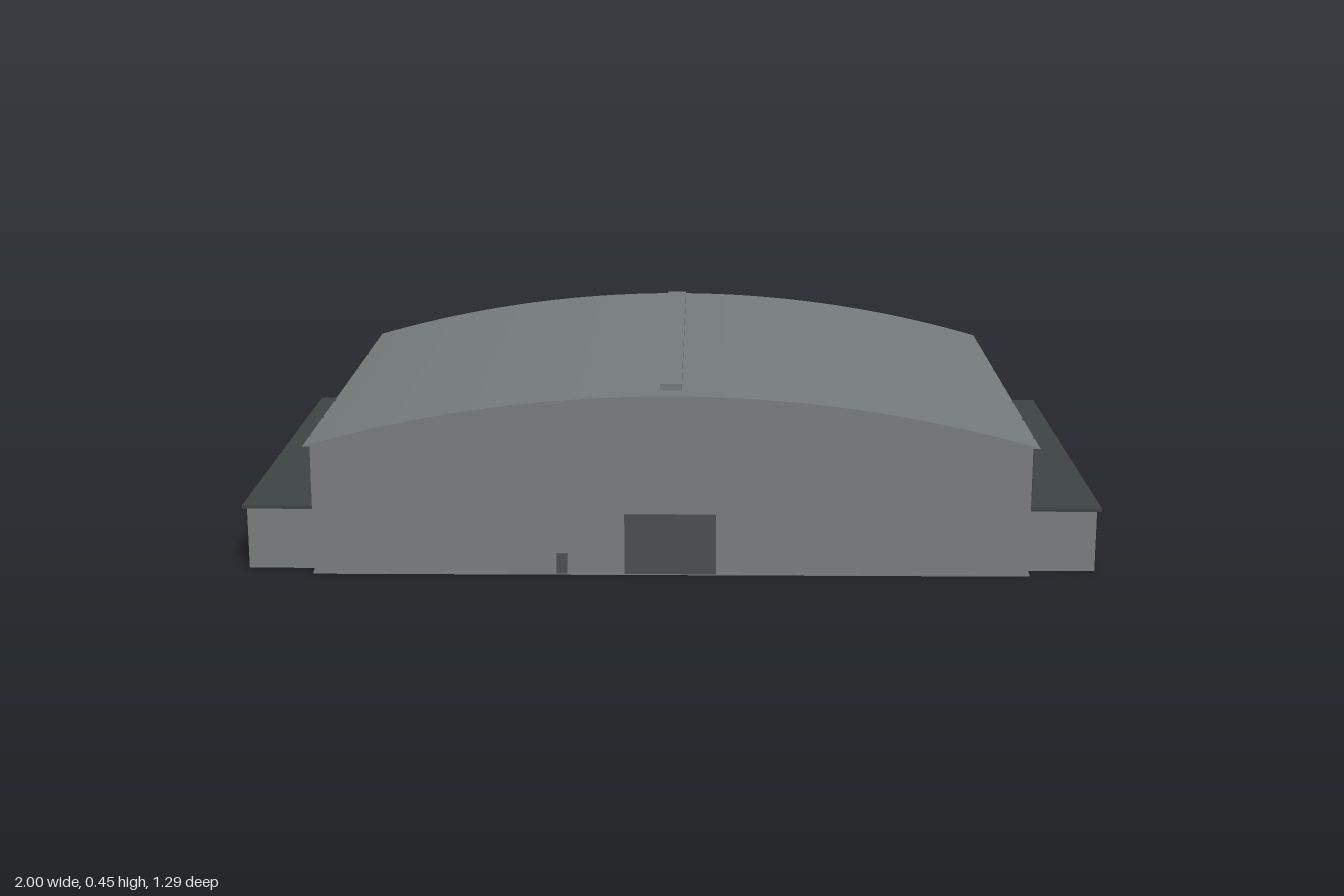
import * as THREE from 'three';

const mat = (name, color) => {
  const m = new THREE.MeshStandardMaterial({ color });
  m.name = name;
  return m;
};

export function createModel() {
  const wall = mat('wall grey', 0x797e7e);
  const roofing = mat('roof grey', 0x767c7c);
  const trim = mat('dark trim', 0x3e4344);
  const door = mat('door grey', 0x4a4f50);

  const model = new THREE.Group();
  model.name = 'hangar';

  // Box given by its min and max on each axis
  const box = (name, material, [x0, x1], [y0, y1], [z0, z1]) => {
    const mesh = new THREE.Mesh(new THREE.BoxGeometry(x1 - x0, y1 - y0, z1 - z0), material);
    mesh.position.set((x0 + x1) / 2, (y0 + y1) / 2, (z0 + z1) / 2);
    mesh.name = name;
    model.add(mesh);
  };
  // The same box on the +x or -x side
  const sideBox = (s, name, material, [x0, x1], y, z) =>
    box(name, material, s > 0 ? [x0, x1] : [-x1, -x0], y, z);

  // Floor slab and main hall
  box('floorSlab', wall, [-0.832, 0.832], [0, 0.006], [-0.64, 0.634]);
  box('mainHall', wall, [-0.83, 0.83], [0.006, 0.31], [-0.607, 0.632]);

  // Arched roof: a circle segment run front to back
  const half = 0.844, rise = 0.12, base = 0.31;
  const radius = (half * half + rise * rise) / (2 * rise);
  const angle = Math.asin(half / radius);
  const arch = new THREE.Shape();
  arch.moveTo(-half, base);
  arch.lineTo(half, base);
  arch.absarc(0, base + rise - radius, radius, Math.PI / 2 - angle, Math.PI / 2 + angle, false);
  const roof = new THREE.Mesh(
    new THREE.ExtrudeGeometry(arch, { depth: 1.275, bevelEnabled: false, curveSegments: 32 }),
    [wall, roofing]
  );
  roof.position.z = -0.628;
  roof.name = 'archedRoof';
  model.add(roof);
  box('ridgeVent', roofing, [-0.025, 0.025], [0.42, 0.446], [-0.57, 0.588]);

  // Front doors
  box('frontGate', door, [-0.107, 0.105], [0.004, 0.147], [0.63, 0.639]);
  box('frontSmallDoor', door, [-0.265, -0.24], [0.004, 0.052], [0.63, 0.638]);

  for (const s of [1, -1]) {
    // Low annex with its flat roof, window band and doors
    sideBox(s, 'annex', wall, [0.82, 0.99], [0, 0.146], [-0.485, 0.59]);
    sideBox(s, 'annexRoof', trim, [0.82, 1.0], [0.146, 0.154], [-0.491, 0.596]);
    sideBox(s, 'annexWindowBand', door, [0.987, 0.9915], [0.068, 0.098], [-0.425, 0.532]);
    for (const z of [0.469, 0.138, -0.197])
      sideBox(s, 'annexDoor', door, [0.987, 0.9915], [0.004, 0.053], [z - 0.023, z + 0.023]);

    // Pilasters along the upper wall
    for (let i = 0; i < 7; i++) {
      const z = 0.553 - i * 0.18;
      sideBox(s, 'pilaster', trim, [0.825, 0.843], [0.146, 0.311], [z - 0.008, z + 0.008]);
    }

    // Rear corner posts and door track brackets
    sideBox(s, 'rearCornerPost', wall, [0.735, 0.815], [0.006, 0.309], [-0.64, -0.6]);
    sideBox(s, 'trackBracket', trim, [0.615, 0.63], [0.308, 0.318], [-0.645, -0.636]);
  }

  // Rear sliding doors, alternately set on two tracks, with pale seams
  const count = 10, width = 1.47 / count;
  for (let i = 0; i < count; i++) {
    const x = -0.735 + i * width;
    const z = i % 2 ? -0.616 : -0.624;
    box('slidingDoor', door, [x, x + width], [0.006, 0.272], [z, z + 0.012]);
    if (i % 2) box('doorSeam', wall, [x + width - 0.008, x + width - 0.003], [0.03, 0.22], [z - 0.002, z]);
  }
  box('rearLintel', door, [-0.735, 0.735], [0.27, 0.309], [-0.63, -0.6]);
  box('doorTrackBeam', trim, [-0.8, 0.8], [0.287, 0.313], [-0.642, -0.63]);

  return model;
}
